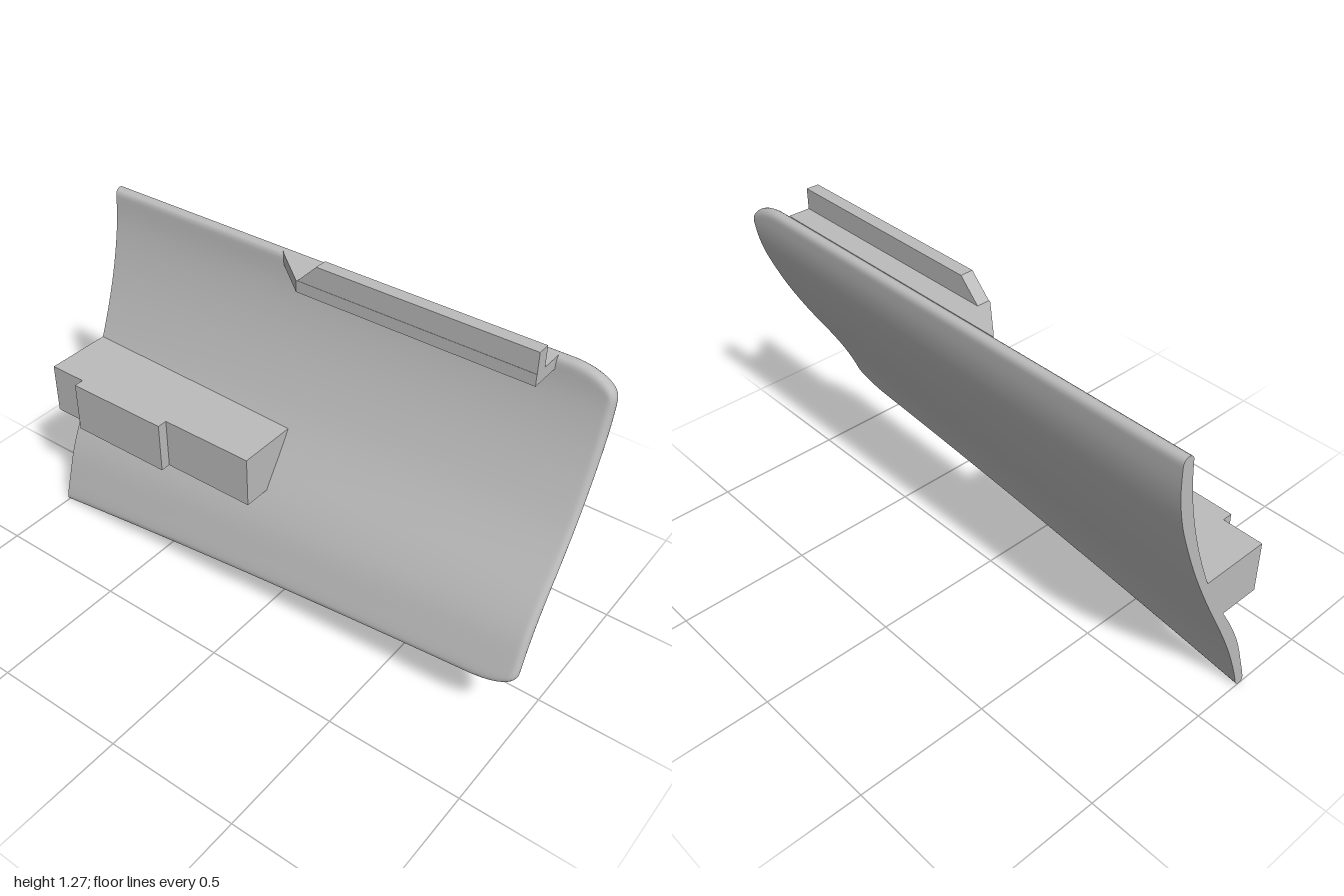
import * as THREE from 'three';
import { toCreasedNormals } from 'three/addons/utils/BufferGeometryUtils.js';

const TOP = 1.2;
// S-shaped profile: x of each side at equal steps from lower edge to upper edge
const spline = (xs) => new THREE.SplineCurve(xs.map((x, i) => new THREE.Vector2(x, i / (xs.length - 1))));
const outerSide = spline([-0.19, -0.155, -0.107, -0.05, 0.012, 0.071, 0.125, 0.172, 0.212, 0.234, 0.238]);
const innerSide = spline([-0.228, -0.196, -0.156, -0.097, -0.026, 0.038, 0.088, 0.13, 0.163, 0.186, 0.195]);

// The lower edge rises towards the front
const lowerEdge = (z) => 0.135 + 0.115 * z - 0.015 * z * z;

function sidesAt(y, z) {
  const v = THREE.MathUtils.clamp((y - lowerEdge(z)) / (TOP - lowerEdge(z)), 0, 1);
  return [outerSide.getPoint(v).x, innerSide.getPoint(v).x];
}

// Quarter-round falloff: 0 at the edge, 1 at distance r and beyond
const round = (d, r) => (d >= r ? 1 : Math.sqrt(Math.max(0, 1 - (1 - d / r) ** 2)));

// Curved sheet lofted along z, with rounded rim and front corners
function panelGeometry() {
  const zs = [];
  for (let i = 0; i <= 16; i++) zs.push(-1 + (1.84 * i) / 16);
  for (let i = 1; i <= 14; i++) zs.push(0.84 + 0.16 * Math.sin((i / 14) * Math.PI / 2));
  const n = 40, ring = 2 * (n + 1);
  const pos = [], index = [];
  for (const z of zs) {
    const corner = 1 - round(1 - z, 0.16);
    const lo = lowerEdge(z) + 0.06 * corner, hi = TOP - 0.09 * corner;
    const outer = [], inner = [];
    for (let k = 0; k <= n; k++) {
      // points gather near the rounded edges
      const s = 0.5 - 0.5 * Math.cos((k / n) * Math.PI);
      const y = lo + (hi - lo) * s;
      const [a, b] = sidesAt(y, z);
      const thick = round(Math.min(y - lo, hi - y), 0.022) * round(1 - z, 0.02);
      const mid = (a + b) / 2, half = ((a - b) / 2) * thick;
      outer.push([mid + half, y, z]);
      inner.push([mid - half, y, z]);
    }
    pos.push(...outer.flat(), ...inner.reverse().flat());
  }
  for (let i = 0; i < zs.length - 1; i++) {
    for (let j = 0; j < ring; j++) {
      const a = i * ring + j, b = i * ring + ((j + 1) % ring);
      index.push(a, b, a + ring, b, b + ring, a + ring);
    }
  }
  // flat back end
  for (let k = 0; k < n; k++) {
    const i0 = ring - 1 - k, i1 = ring - 2 - k;
    index.push(k, i0, k + 1, i0, i1, k + 1);
  }
  const g = new THREE.BufferGeometry();
  g.setAttribute('position', new THREE.Float32BufferAttribute(pos, 3));
  g.setIndex(index);
  return toCreasedNormals(g, 0.7);
}

// Box given by its limits on each axis
function box(x0, x1, y0, y1, z0, z1, segs = 1) {
  const g = new THREE.BoxGeometry(x1 - x0, y1 - y0, z1 - z0, 1, segs, segs);
  return g.translate((x0 + x1) / 2, (y0 + y1) / 2, (z0 + z1) / 2);
}

// Block whose +x face follows the middle of the panel
function fittedBlock() {
  const g = box(-0.205, 0, 0.44, 0.635, -1, -0.075, 6);
  const p = g.attributes.position;
  for (let i = 0; i < p.count; i++) {
    if (p.getX(i) < -0.1) continue;
    const [a, b] = sidesAt(p.getY(i), p.getZ(i));
    p.setX(i, (a + b) / 2);
  }
  return toCreasedNormals(g, 0.5);
}

const extrude = (points, depth) => new THREE.ExtrudeGeometry(
  new THREE.Shape(points.map(([x, y]) => new THREE.Vector2(x, y))), { depth, bevelEnabled: false });

export function createModel() {
  const model = new THREE.Group();
  const grey = new THREE.MeshStandardMaterial({ color: 0xbcbcbc });
  grey.name = 'plain grey';
  const add = (parent, name, geometry) => {
    const mesh = new THREE.Mesh(geometry, grey);
    mesh.name = name;
    parent.add(mesh);
  };

  add(model, 'curvedPanel', panelGeometry());

  // Bracket along the upper edge: plate with a slanted back end and an upright lip
  const bracket = new THREE.Group();
  bracket.name = 'upperBracket';
  const plate = extrude([[0.075, -0.8], [0.205, -0.8], [0.205, 0.235], [0.19, 0.22], [0.075, 0.08]], 0.043);
  add(bracket, 'bracketPlate', plate.rotateX(-Math.PI / 2).translate(0, 1.156, 0));
  const lip = extrude([[-0.8, 1.199], [0.075, 1.199], [0, 1.275], [-0.8, 1.275]], 0.047);
  add(bracket, 'bracketLip', lip.rotateY(Math.PI / 2).translate(0.076, 0, 0));
  model.add(bracket);

  // Mounting block on the inner side with a raised pad
  const mount = new THREE.Group();
  mount.name = 'mountingBlock';
  add(mount, 'block', fittedBlock());
  add(mount, 'blockPad', box(-0.243, -0.205, 0.44, 0.635, -0.85, -0.44));
  model.add(mount);

  return model;
}
